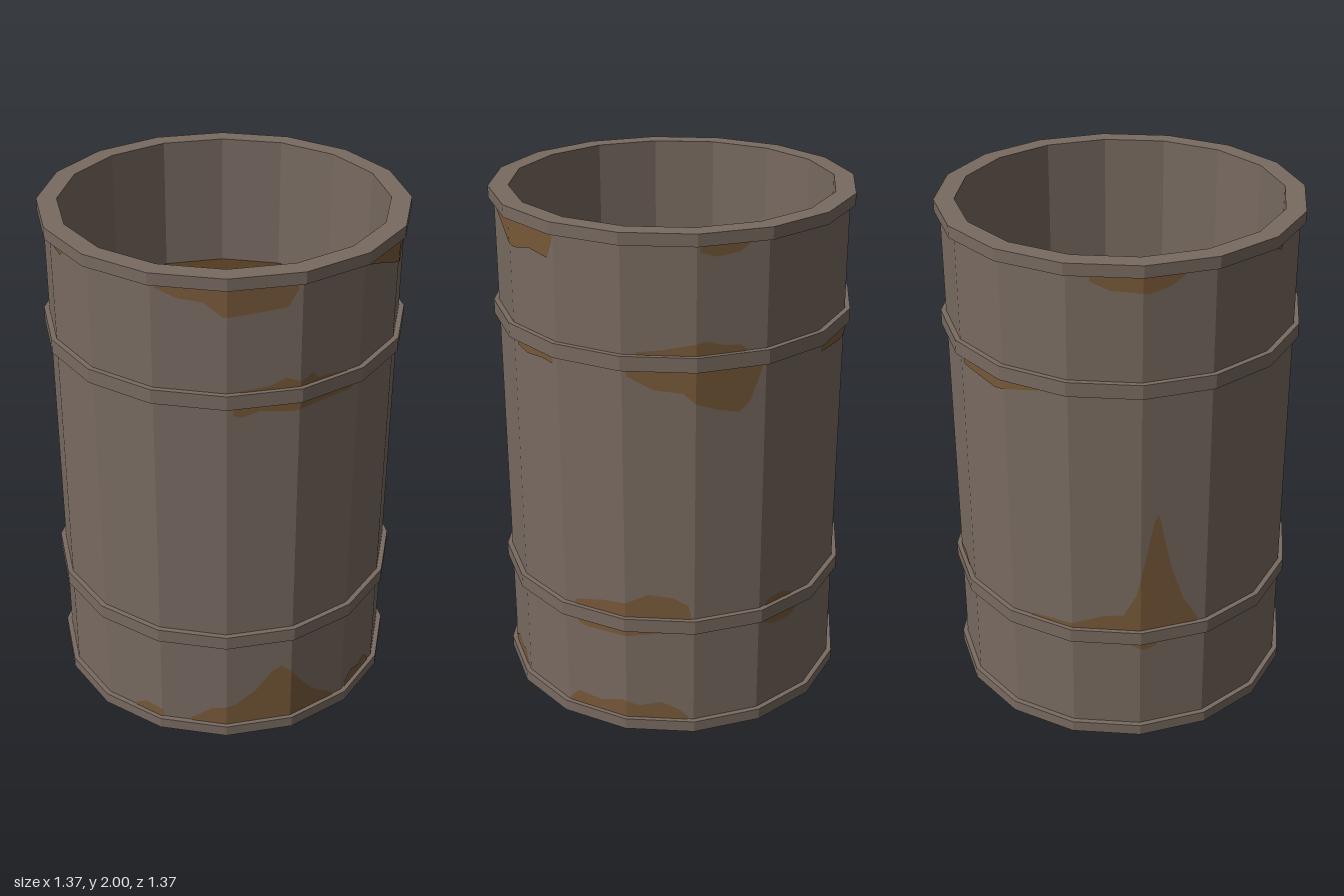
import * as THREE from 'three';

const SIDES = 16;
const STEP = 360 / SIDES;
const BODY_R = 0.665;

const flat = (geometry) => {
  const g = geometry.index ? geometry.toNonIndexed() : geometry;
  g.computeVertexNormals();
  return g;
};

// Faceted ring from a profile of [radius, height] points
const ring = (profile) =>
  flat(new THREE.LatheGeometry(profile.map(([r, y]) => new THREE.Vector2(r, y)), SIDES));

// Point on the sixteen-sided wall; degrees run from +z towards +x
function wallPoint(deg, y, r) {
  const k = Math.floor(deg / STEP);
  const corner = (i) => {
    const a = THREE.MathUtils.degToRad(i * STEP);
    return new THREE.Vector3(Math.sin(a) * r, y, Math.cos(a) * r);
  };
  return corner(k).lerp(corner(k + 1), deg / STEP - k);
}

// Rust stain between a level edge and an outline of [degrees, height] points
function rustPatch(base, outline) {
  const columns = [];
  outline.forEach(([a, y], i) => {
    columns.push([a, y]);
    const next = outline[i + 1];
    if (!next) return;
    for (let c = (Math.floor(a / STEP) + 1) * STEP; c < next[0]; c += STEP) {
      columns.push([c, THREE.MathUtils.mapLinear(c, a, next[0], y, next[1])]);
    }
  });
  const points = [];
  for (let i = 0; i < columns.length - 1; i++) {
    const [l, r] = [columns[i], columns[i + 1]];
    const at = ([a, y], pick) => wallPoint(a, pick(base, y), BODY_R + 0.003);
    const bl = at(l, Math.min), br = at(r, Math.min), tr = at(r, Math.max), tl = at(l, Math.max);
    points.push(bl, br, tr, bl, tr, tl);
  }
  return flat(new THREE.BufferGeometry().setFromPoints(points));
}

// Uneven fill: a low mound inside the wall
function fillGeometry() {
  const inner = [
    [0, 1.56, 0], [0.1, 1.53, 0.1], [-0.12, 1.53, -0.12], [-0.13, 1.51, 0.13],
    [0.2, 1.5, -0.43], [-0.43, 1.49, 0.17], [0.43, 1.5, -0.04], [-0.05, 1.5, 0.43],
  ].map((p) => new THREE.Vector3(...p));
  const rim = (k) => wallPoint(k * STEP, 1.475, 0.61);
  const points = [];
  const tri = (a, b, c) => {
    const up = b.clone().sub(a).cross(c.clone().sub(a)).y > 0;
    points.push(a, up ? b : c, up ? c : b);
  };
  const [top, p1, p2, p3, back, left, right, front] = inner;
  // Slopes around the crown
  [[p1, back], [back, p2], [p2, p3], [p3, p1]].forEach(([a, b]) => tri(top, a, b));
  tri(p1, rim(2), right); tri(p1, right, rim(6)); tri(p1, rim(6), back);
  tri(p2, back, rim(10)); tri(p2, rim(10), left); tri(p3, p2, left);
  tri(p3, left, rim(14)); tri(p3, rim(14), front); tri(p3, front, p1); tri(p1, front, rim(2));
  // Fans out to the wall
  [[right, 2], [back, 6], [left, 10], [front, 14]].forEach(([p, start]) => {
    for (let k = start; k < start + 4; k++) tri(p, rim(k), rim(k + 1));
  });
  return flat(new THREE.BufferGeometry().setFromPoints(points));
}

export function createModel() {
  const metal = new THREE.MeshStandardMaterial({ color: 0x786a60 });
  const rust = new THREE.MeshStandardMaterial({ color: 0x775939 });
  const dirt = new THREE.MeshStandardMaterial({ color: 0x553e22 });
  metal.name = 'weathered metal';
  rust.name = 'rust';
  dirt.name = 'dark brown fill';

  const model = new THREE.Group();
  model.name = 'barrel';
  const add = (name, geometry, material) => {
    const mesh = new THREE.Mesh(geometry, material);
    mesh.name = name;
    model.add(mesh);
  };

  // Wall, rims and hoops
  add('outerWall', ring([[BODY_R, 0.045], [BODY_R, 1.955]]), metal);
  add('bottomRim', ring([[0, 0], [0.685, 0], [0.685, 0.045], [BODY_R, 0.045]]), metal);
  add('topRim', ring([[BODY_R, 1.955], [0.685, 1.955], [0.685, 2], [0.61, 2]]), metal);
  add('innerWall', ring([[0.61, 2], [0.61, 1.45]]), metal);
  [['lowerHoop', 0.445], ['upperHoop', 1.505]].forEach(([name, y]) => {
    add(name, ring([[BODY_R, y], [0.685, y], [0.685, y + 0.055], [BODY_R, y + 0.055]]), metal);
  });
  add('fill', fillGeometry(), dirt);

  // Rust stains, grouped by the edge they grow from
  const stains = {
    underTopRim: [1.955, [
      [[-66, 1.94], [-60, 1.91], [-52, 1.9], [-46, 1.85], [-35, 1.86], [-27, 1.87], [-24, 1.93]],
      [[2, 1.94], [10, 1.91], [17, 1.88], [25, 1.85], [33, 1.87], [42, 1.86], [45, 1.94]],
      [[91, 1.93], [96, 1.91], [103, 1.92], [107, 1.95]],
      [[187, 1.93], [193, 1.9], [205, 1.89], [211, 1.91], [215, 1.94]],
      [[250, 1.94], [254, 1.92], [257, 1.95]],
    ]],
    aboveUpperHoop: [1.56, [
      [[-41, 1.565], [-32, 1.575], [-27, 1.6], [-22, 1.58], [-18, 1.6], [-16, 1.575], [-5, 1.562]],
      [[72, 1.57], [80, 1.58], [86, 1.595], [93, 1.61], [99, 1.59], [104, 1.585], [106, 1.565]],
    ]],
    underUpperHoop: [1.505, [
      [[-43, 1.47], [-40, 1.46], [-35, 1.48], [-25, 1.465], [-15, 1.475], [-3, 1.48]],
      [[25, 1.48], [30, 1.465], [38, 1.475], [43, 1.47]],
      [[69, 1.48], [77, 1.43], [86, 1.42], [90, 1.38], [97, 1.35], [104, 1.33], [107.5, 1.37], [111, 1.48]],
      [[137, 1.47], [144, 1.46], [153, 1.45], [161, 1.47], [170, 1.49]],
    ]],
    aboveLowerHoop: [0.5, [
      [[49, 0.52], [60, 0.55], [68, 0.56], [75, 0.6], [83, 0.59], [88, 0.56], [89, 0.51]],
      [[115, 0.52], [122, 0.53], [127, 0.51]],
      [[165, 0.51], [180, 0.52], [190, 0.56], [197, 0.57], [201, 0.66], [204, 0.82], [207, 0.99],
        [208.5, 1.01], [210, 0.92], [213, 0.76], [217, 0.62], [222, 0.52]],
    ]],
    underLowerHoop: [0.445, [
      [[50, 0.42], [53, 0.41], [68, 0.415], [78, 0.43], [83, 0.435]],
      [[115, 0.42], [119, 0.4], [126, 0.4], [130, 0.43]],
      [[199, 0.43], [204, 0.405], [208, 0.42]],
    ]],
    aboveBottomRim: [0.045, [
      [[-78, 0.06], [-74, 0.09], [-67, 0.08]],
      [[-57, 0.06], [-50, 0.12], [-42, 0.14], [-35, 0.2], [-29, 0.29], [-26, 0.31], [-23, 0.28],
        [-18, 0.2], [-13, 0.13], [-8, 0.09], [-4, 0.055]],
      [[2, 0.07], [6, 0.1], [12, 0.08], [16, 0.1], [19, 0.06]],
      [[46, 0.06], [49, 0.1], [58, 0.09], [66, 0.12], [72, 0.1], [79, 0.12], [85, 0.09], [88, 0.06]],
    ]],
  };
  for (const [place, [base, outlines]] of Object.entries(stains)) {
    outlines.forEach((o, i) => add(`rust ${place} ${i + 1}`, rustPatch(base, o), rust));
  }
  return model;
}
